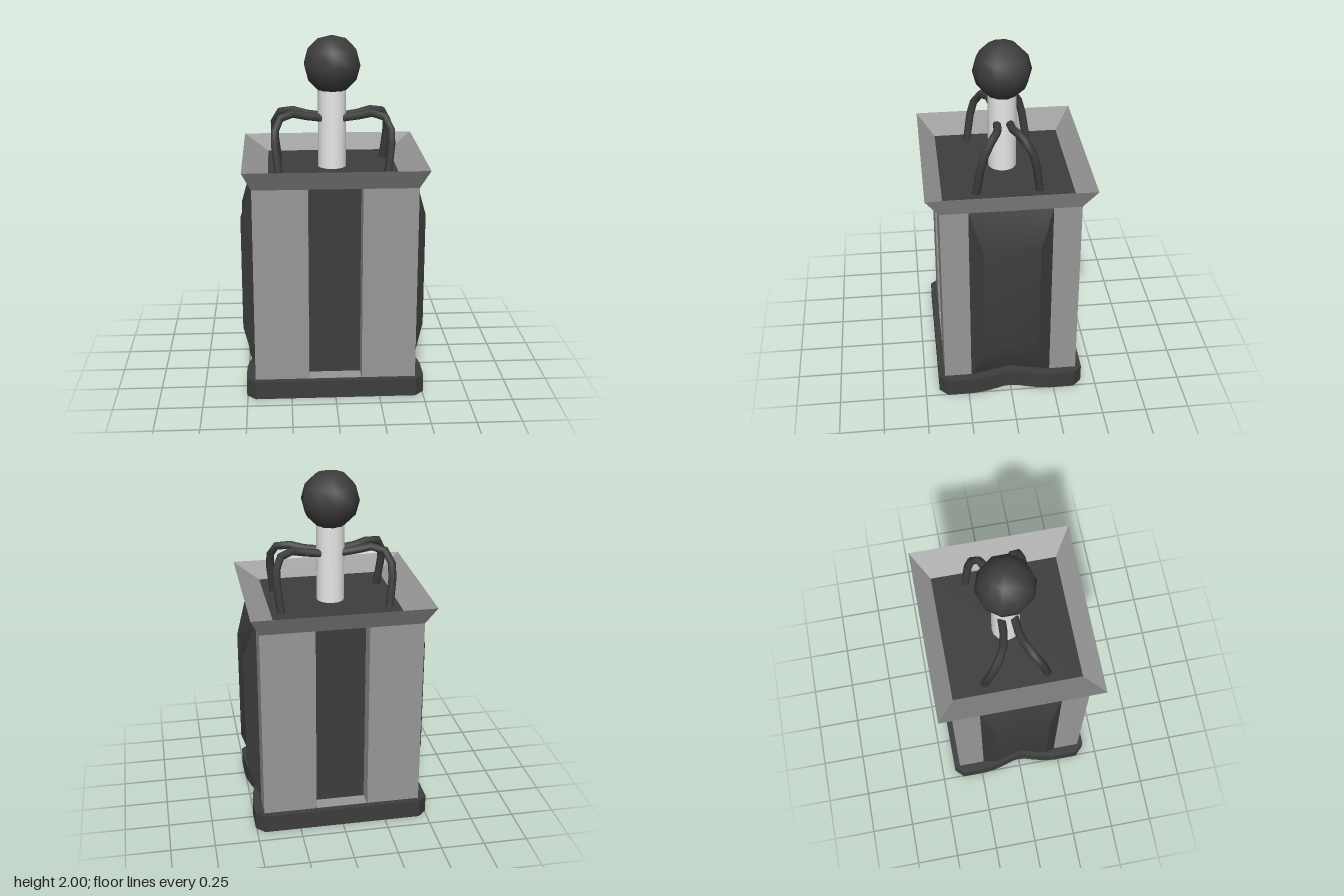
import * as THREE from 'three';

const mat = (name, color) => {
  const m = new THREE.MeshStandardMaterial({ color });
  m.name = name;
  return m;
};

// Closed outline mirrored from one quarter; the first quarter point lies on the x axis
function outline(quarter, s = 1) {
  const q = quarter.map(([x, z]) => [x * s, z * s]);
  const back = q.slice(1).reverse();
  return [
    ...q,
    ...back.map(([x, z]) => [-x, z]),
    ...q.map(([x, z]) => [-x, -z]),
    ...back.map(([x, z]) => [x, -z]),
  ].map(([x, z]) => new THREE.Vector2(x, z));
}

// Upright prism between two heights, optionally hollow
function prism(points, y0, y1, hole) {
  const shape = new THREE.Shape(points);
  if (hole) shape.holes.push(new THREE.Path(hole));
  const g = new THREE.ExtrudeGeometry(shape, { depth: y1 - y0, bevelEnabled: false });
  return g.rotateX(-Math.PI / 2).translate(0, y0, 0);
}

// Surface through rows of points, either smooth or flat-faced
function loft(rows, { closed = false, smooth = false } = {}) {
  const n = rows[0].length, index = [];
  for (let r = 0; r < rows.length - 1; r++) {
    for (let i = 0; i < (closed ? n : n - 1); i++) {
      const a = r * n + i, b = r * n + (i + 1) % n;
      index.push(a, b, b + n, a, b + n, a + n);
    }
  }
  let g = new THREE.BufferGeometry();
  g.setAttribute('position', new THREE.Float32BufferAttribute(rows.flat(2), 3));
  g.setIndex(index);
  if (!smooth) g = g.toNonIndexed();
  g.computeVertexNormals();
  return g;
}

export function createModel() {
  const model = new THREE.Group();
  const dark = mat('charcoal', 0x3d3d3d);
  const gray = mat('gray', 0x979797);
  const white = mat('white', 0xffffff);
  const add = (name, geometry, material, parent = model) => {
    const mesh = new THREE.Mesh(geometry, material);
    mesh.name = name;
    parent.add(mesh);
  };

  // Base with chamfered corners, waisted sides and a hollow underside
  const baseQuarter = [
    [0.458, 0], [0.462, 0.04], [0.478, 0.09], [0.496, 0.16], [0.505, 0.23], [0.505, 0.37], [0.455, 0.42],
  ];
  add('base', prism(outline(baseQuarter), 0.015, 0.105), dark);
  add('baseLip', prism(outline(baseQuarter), 0, 0.015, outline(baseQuarter, 0.97)), dark);

  // Body with front and back channels
  const bodyQuarter = [[0.395, 0], [0.455, 0.23], [0.455, 0.385], [0.15, 0.385], [0.145, 0.295]];
  add('body', prism(outline(bodyQuarter), 0.105, 1.225), gray);

  // Side panel cross-section rows, bottom to top: height, ridge x, ridge z, valley x
  const panelRows = [
    [0.105, 0.457, 0.229, 0.402], [0.33, 0.525, 0.155, 0.486],
    [1.0, 0.525, 0.155, 0.486], [1.225, 0.457, 0.229, 0.402],
  ];

  for (const s of [1, -1]) {
    // Dark channel backing and the pale ledge at its foot
    add('channelPanel', new THREE.BoxGeometry(0.29, 1.12, 0.008).translate(0, 0.665, s * 0.298), dark);
    add('channelLedge', new THREE.BoxGeometry(0.295, 0.004, 0.085).translate(0, 0.105, s * 0.3425), gray);

    // Bulging side panel: two flanks and a smooth hollow between the ridges
    const panel = new THREE.Group();
    panel.name = 'sidePanel';
    panel.rotation.y = s > 0 ? 0 : Math.PI;
    model.add(panel);
    add('hollow', loft(panelRows.map(([y, rx, rz, vx]) => [[rx, y, rz], [vx, y, 0], [rx, y, -rz]]),
      { smooth: true }), dark, panel);
    add('frontFlank', loft(panelRows.map(([y, rx, rz]) => [[0.455, y, 0.23], [rx, y, rz]])), dark, panel);
    add('backFlank', loft(panelRows.map(([y, rx, rz]) => [[rx, y, -rz], [0.455, y, -0.23]])), dark, panel);
  }

  // Flared rim, its underside and the sunken top
  const ring = (x, y, z) => [[x, y, z], [x, y, -z], [-x, y, -z], [-x, y, z]];
  add('rim', loft([ring(0.455, 1.225, 0.385), ring(0.505, 1.34, 0.46), ring(0.365, 1.255, 0.362)],
    { closed: true }), gray);
  add('rimUnderside', new THREE.BoxGeometry(0.908, 0.008, 0.768).translate(0, 1.229, 0), dark);
  add('topPlate', new THREE.BoxGeometry(0.734, 0.008, 0.728).translate(0, 1.251, 0), dark);

  // Column and ball
  add('column', new THREE.CylinderGeometry(0.08, 0.08, 0.47, 16).translate(0, 1.485, 0), white);
  add('ball', new THREE.SphereGeometry(0.163, 10, 6).rotateY(Math.PI / 2).translate(0, 1.837, 0), dark);

  // Four curved arms from the column down to the top plate
  const armPoints = [
    [0.062, 1.54, 0.035], [0.15, 1.552, 0.04], [0.235, 1.57, 0.06],
    [0.308, 1.54, 0.105], [0.325, 1.46, 0.14], [0.305, 1.25, 0.175],
  ];
  for (const sx of [1, -1]) {
    for (const sz of [1, -1]) {
      const pts = armPoints.map(([x, y, z]) => new THREE.Vector3(sx * x, y, sz * z));
      add('arm', new THREE.TubeGeometry(new THREE.CatmullRomCurve3(pts), 7, 0.023, 7), dark);
      // Cap closing the inner end
      add('armEnd', new THREE.SphereGeometry(0.022, 7, 4).translate(...pts[0].toArray()), dark);
    }
  }
  return model;
}
